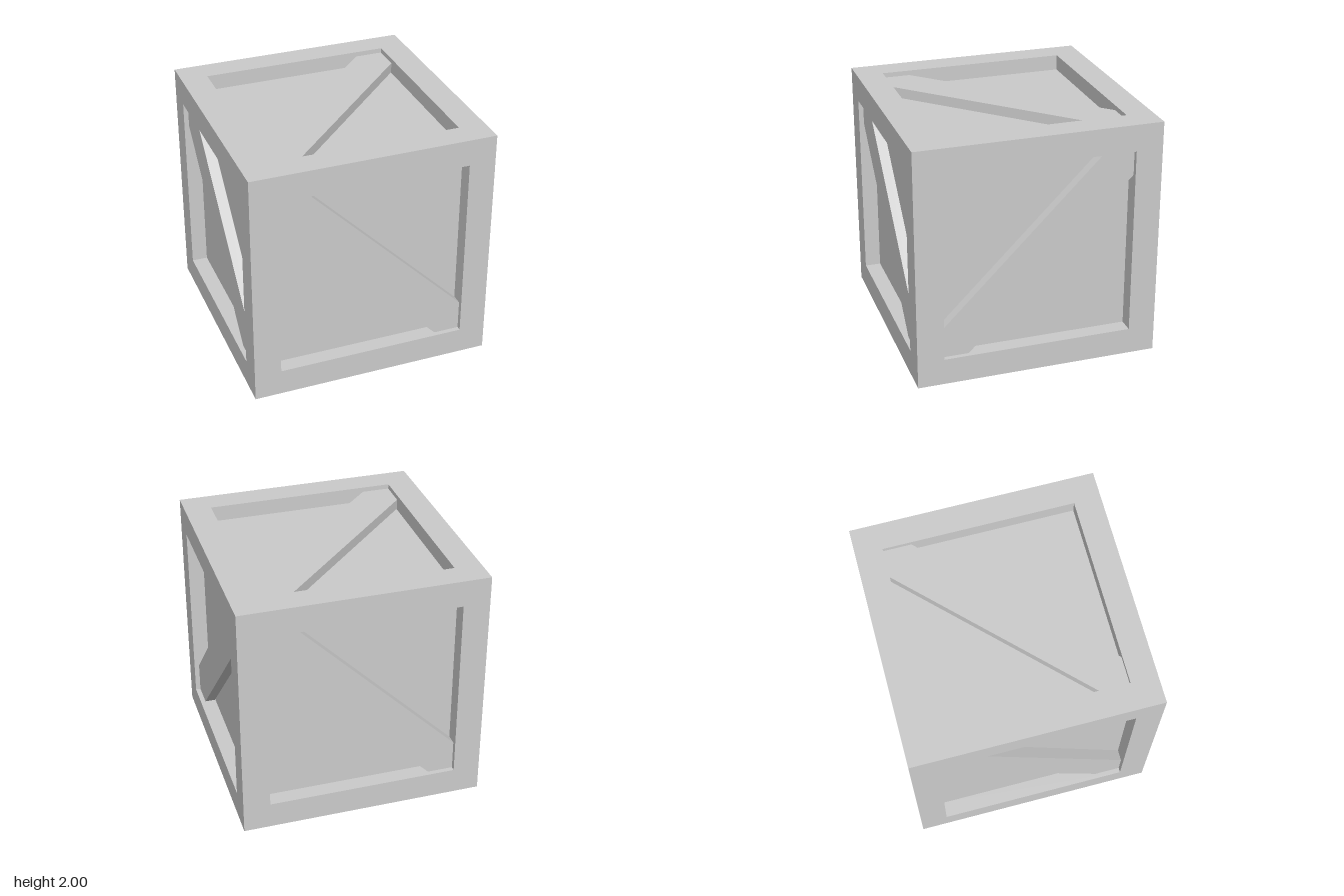
import * as THREE from 'three';

const INNER = 0.78;   // half width of the recessed opening
const DEPTH = 0.13;   // depth of the recessed panel

const material = new THREE.MeshStandardMaterial({
  color: 0xcccccc, flatShading: true, side: THREE.DoubleSide,
});

function add(parent, name, geometry) {
  const mesh = new THREE.Mesh(geometry, material);
  mesh.name = name;
  parent.add(mesh);
  return mesh;
}

function square(half, Type = THREE.Shape) {
  return new Type([[-1, -1], [1, -1], [1, 1], [-1, 1]]
    .map(([x, y]) => new THREE.Vector2(x * half, y * half)));
}

// One crate side facing +z: border, recess walls, panel and diagonal plank
function createSide(name, { mirror = 1, low = -0.21, high = 0.25, back = 0.125 }) {
  const side = new THREE.Group();
  side.name = name;

  const border = square(1);
  border.holes.push(square(INNER, THREE.Path));
  add(side, 'frame', new THREE.ShapeGeometry(border)).position.z = 1;

  const walls = new THREE.CylinderGeometry(INNER * Math.SQRT2, INNER * Math.SQRT2, DEPTH, 4, 1, true);
  walls.rotateY(Math.PI / 4).rotateX(Math.PI / 2);
  add(side, 'recessWalls', walls).position.z = 1 - DEPTH / 2;

  add(side, 'panel', new THREE.PlaneGeometry(INNER * 2, INNER * 2)).position.z = 1 - DEPTH;

  // Plank trimmed to the corners of the opening
  const i = INNER;
  const outline = [[-i, i], [-i, i + low], [i + low, -i], [i, -i], [i, high - i], [high - i, i]]
    .map(([x, y]) => new THREE.Vector2(x * mirror, y));
  const plank = new THREE.ExtrudeGeometry(new THREE.Shape(outline), {
    depth: back - 0.04, bevelEnabled: false,
  });
  add(side, 'diagonalPlank', plank).position.z = 1 - back;
  return side;
}

export function createModel() {
  const crate = new THREE.Group();
  crate.name = 'crate';

  // Four walls and a lid; the underside is open
  const sides = [
    ['frontSide', 0, 0, {}],
    ['leftSide', 0, Math.PI / 2, { mirror: -1 }],
    ['backSide', 0, Math.PI, {}],
    ['rightSide', 0, -Math.PI / 2, { back: 0.18 }],
    ['topSide', -Math.PI / 2, 0, { mirror: -1, low: -0.23, high: 0.23 }],
  ];
  for (const [name, rx, ry, options] of sides) {
    const side = createSide(name, options);
    side.rotation.set(rx, ry, 0);
    side.position.y = 1;
    crate.add(side);
  }
  return crate;
}
